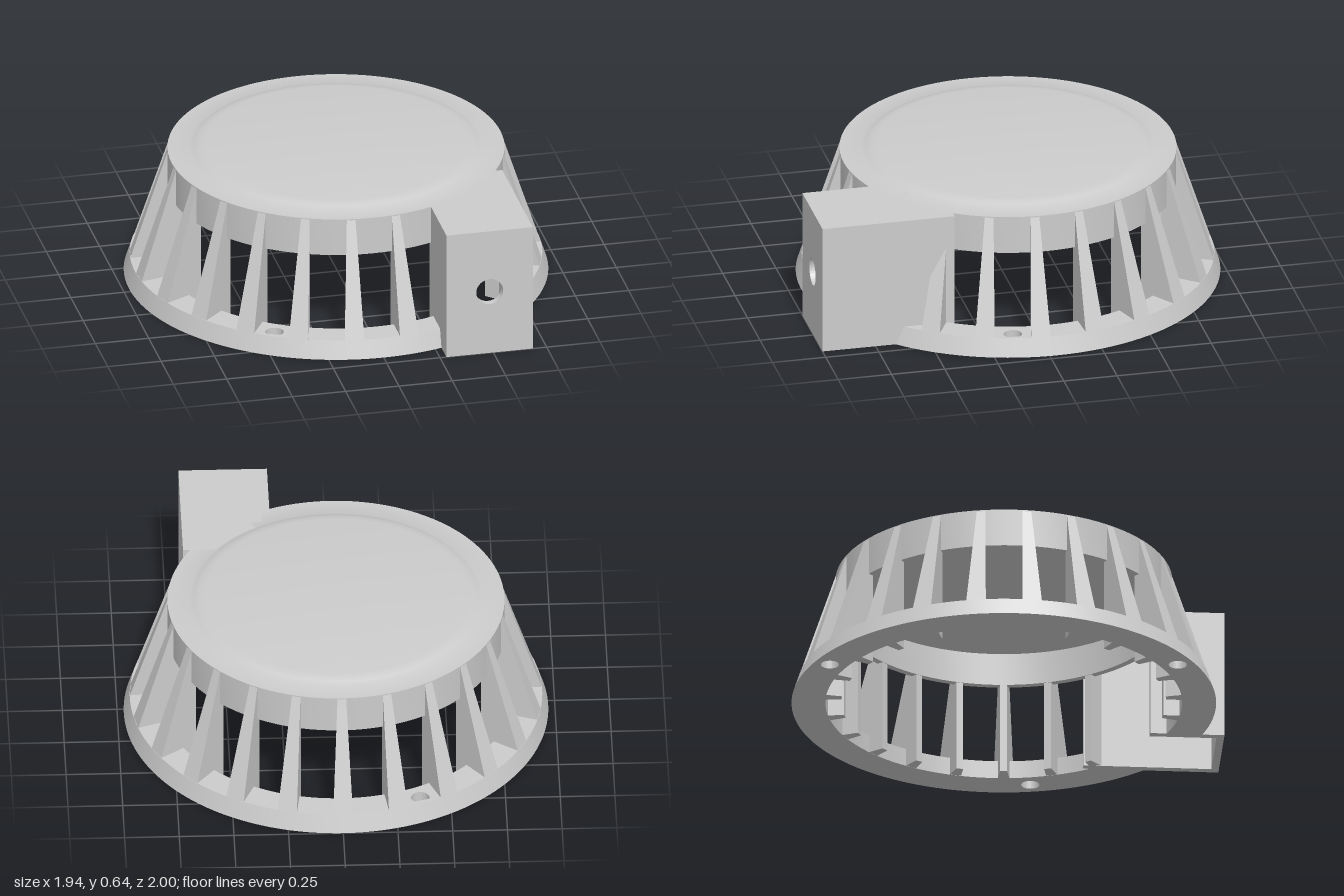
import * as THREE from 'three';
import { toCreasedNormals } from 'three/addons/utils/BufferGeometryUtils.js';

const CENTER_Z = -0.03, TOP = 0.615, RING_H = 0.085, WALL = 0.035;
const RIBS = 23, STEP = (Math.PI * 2) / RIBS;
const BOX = { x0: 0.28, x1: 0.685, z1: 1.0 };

// Radius of the sloping outer cone at a given height
const coneRadius = (y) => 0.97 - (0.2 * y) / TOP;

export function createModel() {
  const model = new THREE.Group();
  model.name = 'ventedHousing';
  const grey = new THREE.MeshStandardMaterial({ color: 0xcccccc });
  grey.name = 'light grey';

  const add = (parent, name, geometry) => {
    const mesh = new THREE.Mesh(geometry, grey);
    mesh.name = name;
    parent.add(mesh);
    return mesh;
  };

  const body = new THREE.Group();
  body.name = 'roundBody';
  body.position.z = CENTER_Z;
  model.add(body);

  // Cap: flat lid with a raised centre and a hanging skirt
  const profile = [
    [0, 0.59], [0.74, 0.59], [0.74, 0.435], [0.77, 0.435], [0.77, TOP],
    [0.672, TOP], [0.65, 0.625], [0.63, 0.632], [0.6, 0.636], [0, 0.636],
  ].map(([r, y]) => new THREE.Vector2(r, y));
  add(body, 'cap', toCreasedNormals(new THREE.LatheGeometry(profile, 96), 0.6));

  // Base ring: interrupted where the box passes through, with screw holes
  const inner = 0.815, outer = 0.97;
  const xa = BOX.x0 + 0.015, xb = BOX.x1 - 0.015;
  const ring = new THREE.Shape();
  ring.absarc(0, 0, outer, Math.acos(xa / outer), Math.acos(xb / outer) + Math.PI * 2, false);
  ring.absarc(0, 0, inner, Math.acos(xb / inner) + Math.PI * 2, Math.acos(xa / inner), true);
  for (const k of [6.5, 13.5, 21.5]) {
    const a = -Math.PI / 2 + k * STEP;
    const hole = new THREE.Path();
    hole.absarc(0.895 * Math.cos(a), 0.895 * Math.sin(a), 0.042, 0, Math.PI * 2, true);
    ring.holes.push(hole);
  }
  const ringGeo = new THREE.ExtrudeGeometry(ring, { depth: RING_H, bevelEnabled: false, curveSegments: 96 });
  ringGeo.rotateX(Math.PI / 2).translate(0, RING_H, 0);
  const rp = ringGeo.attributes.position;
  for (let i = 0; i < rp.count; i++) {
    // Slope the outer wall inwards
    if (rp.getY(i) > 0.04 && Math.hypot(rp.getX(i), rp.getZ(i)) > 0.95) {
      const s = coneRadius(RING_H) / outer;
      rp.setXYZ(i, rp.getX(i) * s, rp.getY(i), rp.getZ(i) * s);
    }
  }
  ringGeo.computeVertexNormals();
  add(body, 'baseRing', toCreasedNormals(ringGeo, 0.5));

  // Ribs: upright wedges, vertical inside and following the cone outside
  const ribGeo = new THREE.BoxGeometry(2, 2, 2);
  const bp = ribGeo.attributes.position;
  for (let i = 0; i < bp.count; i++) {
    const y = bp.getY(i) > 0 ? TOP - 0.002 : 0.001;
    const r = bp.getX(i) > 0 ? coneRadius(y) - 0.002 : 0.742;
    const halfWidth = 0.02 + 0.147 * (r - 0.77);
    bp.setXYZ(i, r, y, Math.sign(bp.getZ(i)) * halfWidth);
  }
  ribGeo.computeVertexNormals();
  for (let k = 0; k < RIBS; k++) {
    if (k === 9 || k === 10) continue; // space taken by the box
    add(body, 'rib', ribGeo).rotation.y = Math.PI / 2 - k * STEP;
  }

  // Cable box: hollow, open below and towards the inside
  const box = new THREE.Group();
  box.name = 'cableBox';
  model.add(box);
  const slab = (name, x0, x1, y0, y1, z0, z1) => {
    const mesh = add(box, name, new THREE.BoxGeometry(x1 - x0, y1 - y0, z1 - z0));
    mesh.position.set((x0 + x1) / 2, (y0 + y1) / 2, (z0 + z1) / 2);
  };
  const zFront = BOX.z1 - WALL;
  slab('boxLeftWall', BOX.x1 - WALL, BOX.x1, 0, TOP, 0.38, zFront);
  slab('boxRightWall', BOX.x0, BOX.x0 + WALL, 0, TOP, 0.66, zFront);
  slab('boxRoof', BOX.x0 + WALL, BOX.x1 - WALL, 0.59, TOP, 0.38, zFront);

  // Front wall with the cable hole
  const front = new THREE.Shape();
  front.moveTo(BOX.x0, 0);
  front.lineTo(BOX.x1, 0);
  front.lineTo(BOX.x1, TOP);
  front.lineTo(BOX.x0, TOP);
  front.closePath();
  const cableHole = new THREE.Path();
  cableHole.absarc(0.483, 0.31, 0.063, 0, Math.PI * 2, true);
  front.holes.push(cableHole);
  const frontGeo = new THREE.ExtrudeGeometry(front, { depth: WALL, bevelEnabled: false, curveSegments: 32 });
  add(box, 'boxFrontWall', toCreasedNormals(frontGeo.translate(0, 0, zFront), 0.5));

  return model;
}
